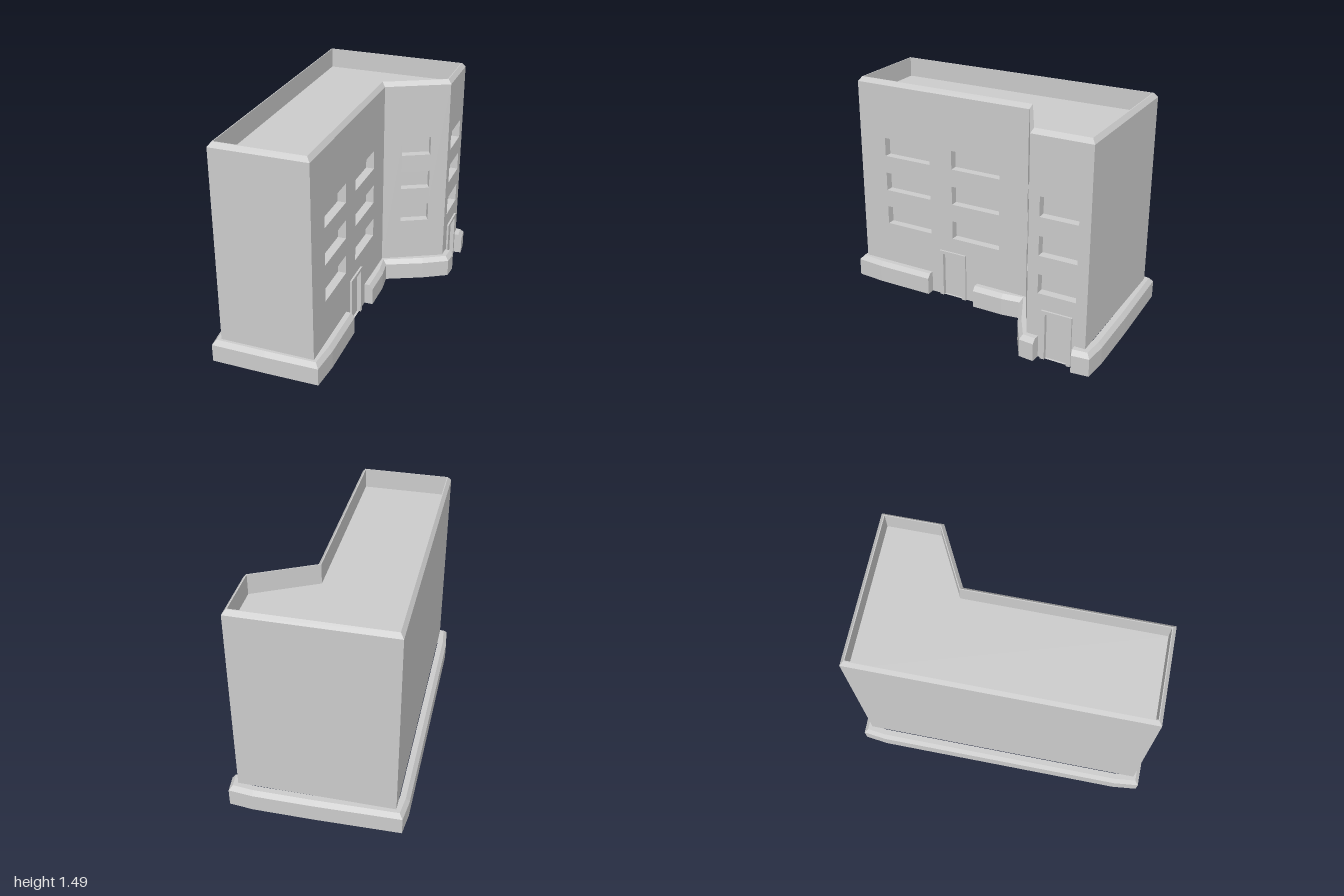
import * as THREE from 'three';

const mat = new THREE.MeshStandardMaterial({ color: 0xcccccc, flatShading: true, side: THREE.DoubleSide });
const SKIRT_TOP = 0.15, WALL_TOP = 1.455;

// Building plan (x, z), walked so that the outside is on the right-hand normal
const plan = [[-0.51, 0.955], [0.115, 0.955], [0.115, -0.335], [0.51, -0.54], [0.51, -0.935], [-0.51, -0.935]];

function addMesh(parent, name, geometry) {
  const mesh = new THREE.Mesh(geometry, mat);
  mesh.name = name;
  parent.add(mesh);
  return mesh;
}

// Shift a path inwards by d with mitred corners
function inset(path, d, closed) {
  const n = path.length;
  const normal = (i) => {
    const a = path[(i + n) % n], b = path[(i + 1 + n) % n];
    const dx = b[0] - a[0], dz = b[1] - a[1], l = Math.hypot(dx, dz);
    return [-dz / l, dx / l];
  };
  return path.map((p, i) => {
    const n0 = normal(!closed && i === 0 ? 0 : i - 1);
    const n1 = normal(!closed && i === n - 1 ? n - 2 : i);
    const k = d / (1 + n0[0] * n1[0] + n0[1] * n1[1]);
    return [p[0] - (n0[0] + n1[0]) * k, p[1] - (n0[1] + n1[1]) * k];
  });
}

// Strip swept along a path; profile entries are [inset, y]
function sweep(path, profile, closed) {
  const pos = [];
  const rings = profile.map(([d, y]) => inset(path, d, closed).map(([x, z]) => [x, y, z]));
  const n = path.length;
  for (let r = 0; r < rings.length - 1; r++) {
    for (let i = 0; i < (closed ? n : n - 1); i++) {
      const j = (i + 1) % n;
      const a = rings[r][i], b = rings[r][j], c = rings[r + 1][j], d = rings[r + 1][i];
      pos.push(...a, ...b, ...c, ...a, ...c, ...d);
    }
  }
  if (!closed) { // end caps
    for (const e of [0, n - 1]) {
      const ends = rings.map((r) => r[e]);
      const last = ends[ends.length - 1];
      ends.push([last[0], 0, last[2]]);
      for (let k = 1; k < ends.length - 1; k++) {
        const [p, q] = e === 0 ? [ends[k + 1], ends[k]] : [ends[k], ends[k + 1]];
        pos.push(...ends[0], ...p, ...q);
      }
    }
  }
  const g = new THREE.BufferGeometry();
  g.setAttribute('position', new THREE.Float32BufferAttribute(pos, 3));
  g.computeVertexNormals();
  return g;
}

const polygon = (pts) => new THREE.Shape(pts.map(([x, y]) => new THREE.Vector2(x, y)));
const rect = (s0, s1, y0, y1) => [[s0, y0], [s1, y0], [s1, y1], [s0, y1]];

// Box without its front face, set back from the wall
function recess(s0, s1, y0, y1, depth) {
  const g = new THREE.BoxGeometry(s1 - s0, y1 - y0, depth);
  const idx = Array.from(g.index.array);
  idx.splice(24, 6);
  for (let i = 0; i < idx.length; i += 3) [idx[i], idx[i + 1]] = [idx[i + 1], idx[i]];
  g.setIndex(idx);
  g.clearGroups();
  g.attributes.normal.array.forEach((v, i, arr) => { arr[i] = -v; });
  g.translate((s0 + s1) / 2, (y0 + y1) / 2, -depth / 2);
  return g;
}

// Wall i of the plan with columns of windows [s0, s1] and an optional door
function makeWall(i, name, columns = [], door = null) {
  const a = plan[i], b = plan[(i + 1) % plan.length];
  const dx = b[0] - a[0], dz = b[1] - a[1], length = Math.hypot(dx, dz);
  const wall = new THREE.Group();
  wall.name = name;
  wall.position.set(a[0], 0, a[1]);
  wall.rotation.y = Math.atan2(-dz, dx);

  const outline = [[0, SKIRT_TOP]];
  if (door) {
    const { gap: [g0, g1], frame: [f0, f1] } = door;
    const s0 = f0 + 0.028, s1 = f1 - 0.028, top = 0.32;
    outline.push([g0, SKIRT_TOP], [g0, 0], [s0, 0], [s0, top], [s1, top], [s1, 0], [g1, 0], [g1, SKIRT_TOP]);
    addMesh(wall, 'doorPanel', recess(s0, s1, 0, top, 0.015));
    const frame = polygon([[f0, 0], [s0, 0], [s0, top], [s1, top], [s1, 0], [f1, 0], [f1, 0.342], [f0, 0.342]]);
    addMesh(wall, 'doorFrame', new THREE.ExtrudeGeometry(frame, { depth: 0.013, bevelEnabled: false }));
  }
  outline.push([length, SKIRT_TOP], [length, WALL_TOP], [0, WALL_TOP]);
  const shape = polygon(outline);
  for (const [s0, s1] of columns) {
    for (const y of [0.447, 0.7, 0.953]) {
      shape.holes.push(polygon(rect(s0, s1, y, y + 0.13)));
      addMesh(wall, 'windowRecess', recess(s0, s1, y, y + 0.13, 0.055));
    }
  }
  addMesh(wall, 'wallFace', new THREE.ShapeGeometry(shape));
  return wall;
}

export function createModel() {
  const building = new THREE.Group();
  building.name = 'building';

  // Hollow walls, open underneath
  building.add(
    makeWall(0, 'frontWall'),
    makeWall(1, 'longEntranceWall', [[0.2, 0.555], [0.725, 1.085]], { gap: [0.555, 0.915], frame: [0.625, 0.83] }),
    makeWall(2, 'diagonalWall', [[0.127, 0.324]]),
    makeWall(3, 'shortEntranceWall', [[0.07, 0.322]], { gap: [0.075, 0.33], frame: [0.1, 0.305] }),
    makeWall(4, 'backWall'),
    makeWall(5, 'sideWall'),
  );

  // Bevelled parapet around a sunken roof
  addMesh(building, 'parapet', sweep(plan, [[0, WALL_TOP], [0.022, 1.485], [0.028, 1.485], [0.028, 1.35]], true));
  const roof = new THREE.ShapeGeometry(polygon(inset(plan, 0.028, true).map(([x, z]) => [x, -z])));
  roof.rotateX(-Math.PI / 2);
  addMesh(building, 'roof', roof).position.y = 1.35;

  // Slightly bowed skirt, interrupted at the doors
  const skirtProfile = [[0, 0], [0, 0.12], [0.025, SKIRT_TOP], [0.063, SKIRT_TOP]];
  const shortSkirt = [[0.174, 0.04], [0.174, -0.18], [0.157, -0.308], [0.4, -0.42], [0.563, -0.515], [0.572, -0.615]];
  const longSkirt = [[0.572, -0.87], [0.56, -0.985], [0.4, -1], [0, -0.998], [-0.558, -0.985], [-0.576, -0.83],
    [-0.576, 0.83], [-0.558, 0.997], [-0.2, 1], [0.158, 0.997], [0.174, 0.8], [0.174, 0.4]];
  addMesh(building, 'shortSkirt', sweep(shortSkirt, skirtProfile, false));
  addMesh(building, 'longSkirt', sweep(longSkirt, skirtProfile, false));

  return building;
}
